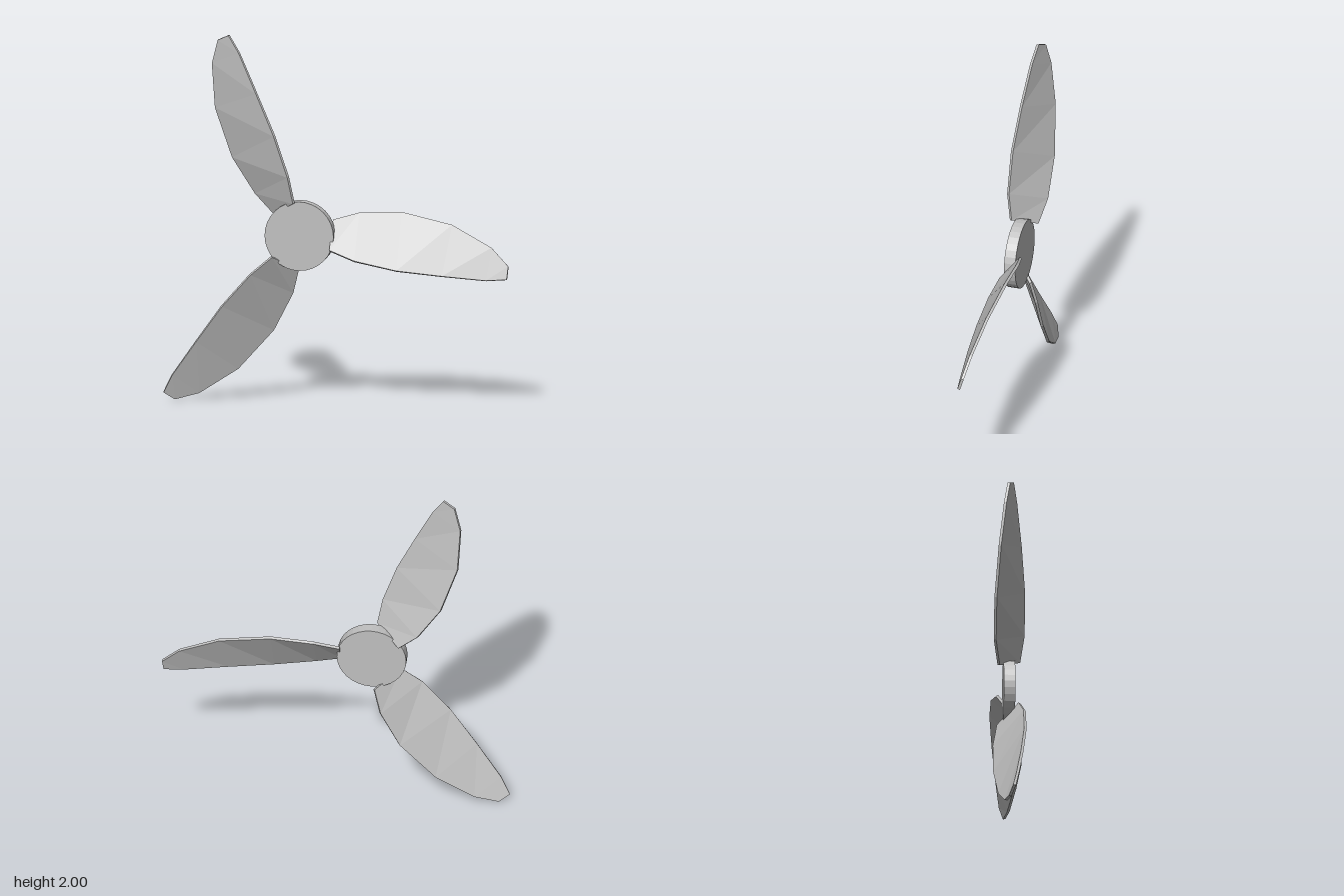
import * as THREE from 'three';

const THICKNESS = 0.015;

// Blade stations from root to tip, measured from the hub centre:
// [upper x, upper y, upper z, lower x, lower y, lower z]
const STATIONS = [
  [0.17, 0.078, -0.058, 0.17, -0.07, 0.055],
  [0.31, 0.117, -0.081, 0.31, -0.12, 0.078],
  [0.54, 0.129, -0.081, 0.54, -0.166, 0.078],
  [0.82, 0.071, -0.06, 0.785, -0.191, 0.057],
  [1.04, -0.042, -0.032, 1.02, -0.212, 0.029],
  [1.135, -0.137, -0.012, 1.13, -0.206, 0.01],
];

// Twisted blade along +x: a four-cornered section lofted through the stations
function bladeGeometry() {
  const rings = STATIONS.map(([ux, uy, uz, lx, ly, lz]) => {
    const upper = new THREE.Vector3(ux, uy, uz);
    const lower = new THREE.Vector3(lx, ly, lz);
    const offset = new THREE.Vector3(0, lz - uz, uy - ly).setLength(THICKNESS / 2);
    return [
      lower.clone().add(offset),
      upper.clone().add(offset),
      upper.clone().sub(offset),
      lower.clone().sub(offset),
    ];
  });
  const points = [];
  const quad = (a, b, c, d) => points.push(a, b, c, a, c, d);

  for (let i = 0; i < rings.length - 1; i++) {
    const [lf, uf, ub, lb] = rings[i];
    const [lf2, uf2, ub2, lb2] = rings[i + 1];
    quad(lf, lf2, uf2, uf); // front face
    quad(lb, ub, ub2, lb2); // back face
    quad(uf, uf2, ub2, ub); // upper edge
    quad(lb, lb2, lf2, lf); // lower edge
  }
  quad(...rings[0]); // root cap
  quad(...rings[rings.length - 1].slice().reverse()); // tip cap

  const geometry = new THREE.BufferGeometry().setFromPoints(points);
  geometry.computeVertexNormals(); // unshared corners give flat facets
  return geometry;
}

export function createModel() {
  const metal = new THREE.MeshStandardMaterial({ color: 0xc0c0c0 });
  metal.name = 'light grey';

  const model = new THREE.Group();
  model.name = 'propeller';

  const rotor = new THREE.Group();
  rotor.name = 'rotor';
  rotor.position.set(-0.2, 0.925, 0);
  model.add(rotor);

  // Hub disc facing the front
  const disc = new THREE.CylinderGeometry(0.188, 0.188, 0.062, 32).rotateX(Math.PI / 2).toNonIndexed();
  disc.computeVertexNormals();
  const hub = new THREE.Mesh(disc, metal);
  hub.name = 'hub';
  rotor.add(hub);

  // Three equal blades
  const geometry = bladeGeometry();
  for (let i = 0; i < 3; i++) {
    const blade = new THREE.Mesh(geometry, metal);
    blade.name = `blade${i + 1}`;
    blade.rotation.z = (i * 2 * Math.PI) / 3;
    rotor.add(blade);
  }

  return model;
}
